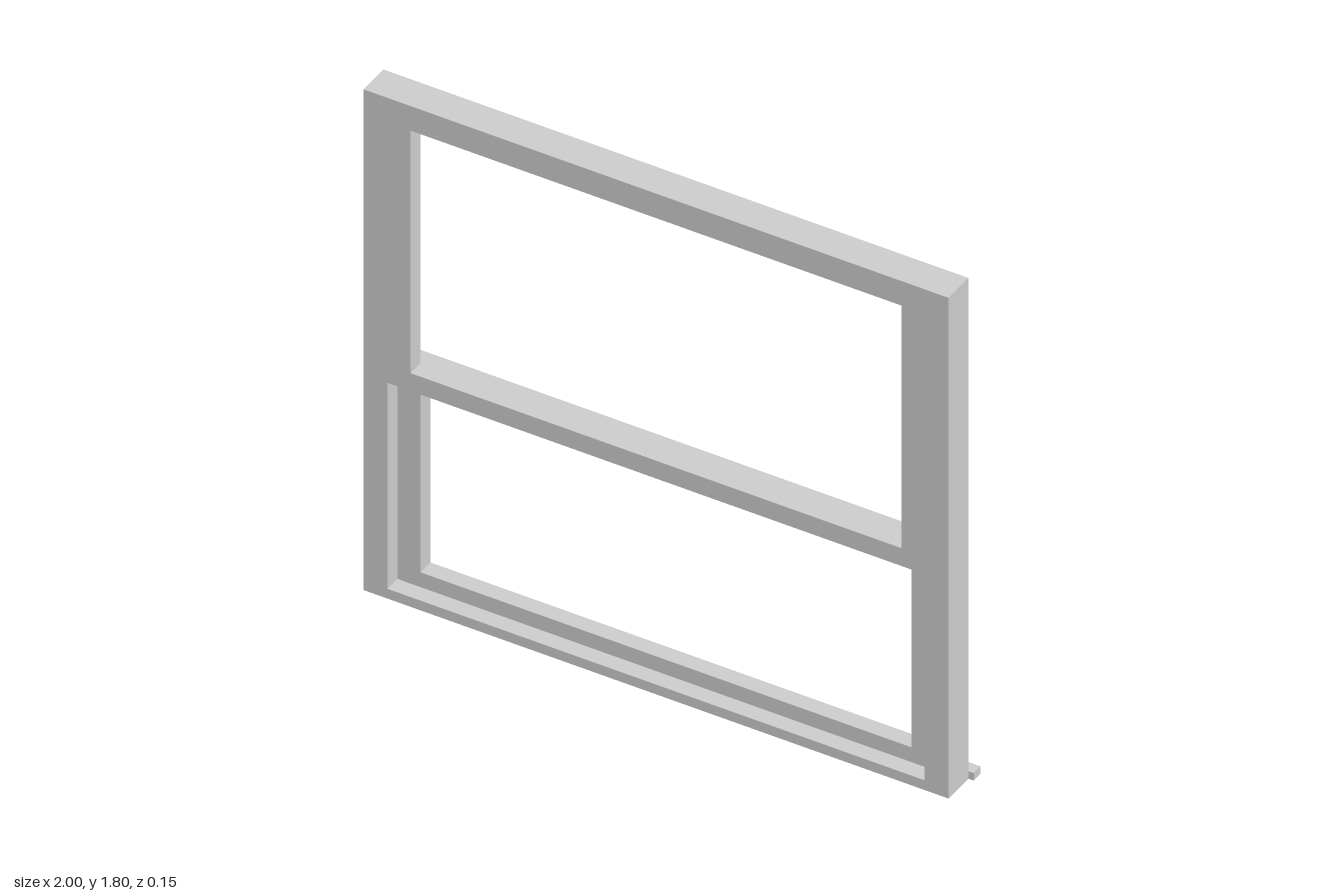
import * as THREE from 'three';

const material = new THREE.MeshStandardMaterial({ color: 0xcccccc });

// Rectangular ring: outer and inner are [halfWidth, bottom, top], extruded from z0 to z1
function ring(name, outer, inner, z0, z1) {
  const trace = (path, [w, b, t]) => {
    path.moveTo(-w, b);
    path.lineTo(w, b);
    path.lineTo(w, t);
    path.lineTo(-w, t);
    path.closePath();
    return path;
  };
  const shape = trace(new THREE.Shape(), outer);
  shape.holes.push(trace(new THREE.Path(), inner));
  const geometry = new THREE.ExtrudeGeometry(shape, { depth: z1 - z0, bevelEnabled: false });
  const mesh = new THREE.Mesh(geometry, material);
  mesh.name = name;
  mesh.position.z = z0;
  return mesh;
}

export function createModel() {
  const group = new THREE.Group();
  group.name = 'sashWindow';

  const back = -0.037, middle = 0.019, front = 0.075;
  const opening = [0.902, 0.035, 1.76];
  const railBottom = 0.774, railTop = 0.838;   // overlapping meeting rails
  const glassHalf = 0.824;

  // Outer frame
  group.add(ring('outerFrame', [0.982, 0, 1.796], opening, back, front));

  // Upper sash in the front track, lower sash in the back track
  group.add(ring('upperSash', [opening[0], railBottom, opening[2]], [glassHalf, railTop, 1.708], middle, front));
  group.add(ring('lowerSash', [opening[0], opening[1], railTop], [glassHalf, 0.088, railBottom], back, middle));

  // Sill strip along the back foot of the frame
  const sill = new THREE.Mesh(new THREE.BoxGeometry(2, 0.027, 0.038), material);
  sill.name = 'sill';
  sill.position.set(0, 0.0135, -0.056);
  group.add(sill);

  return group;
}
